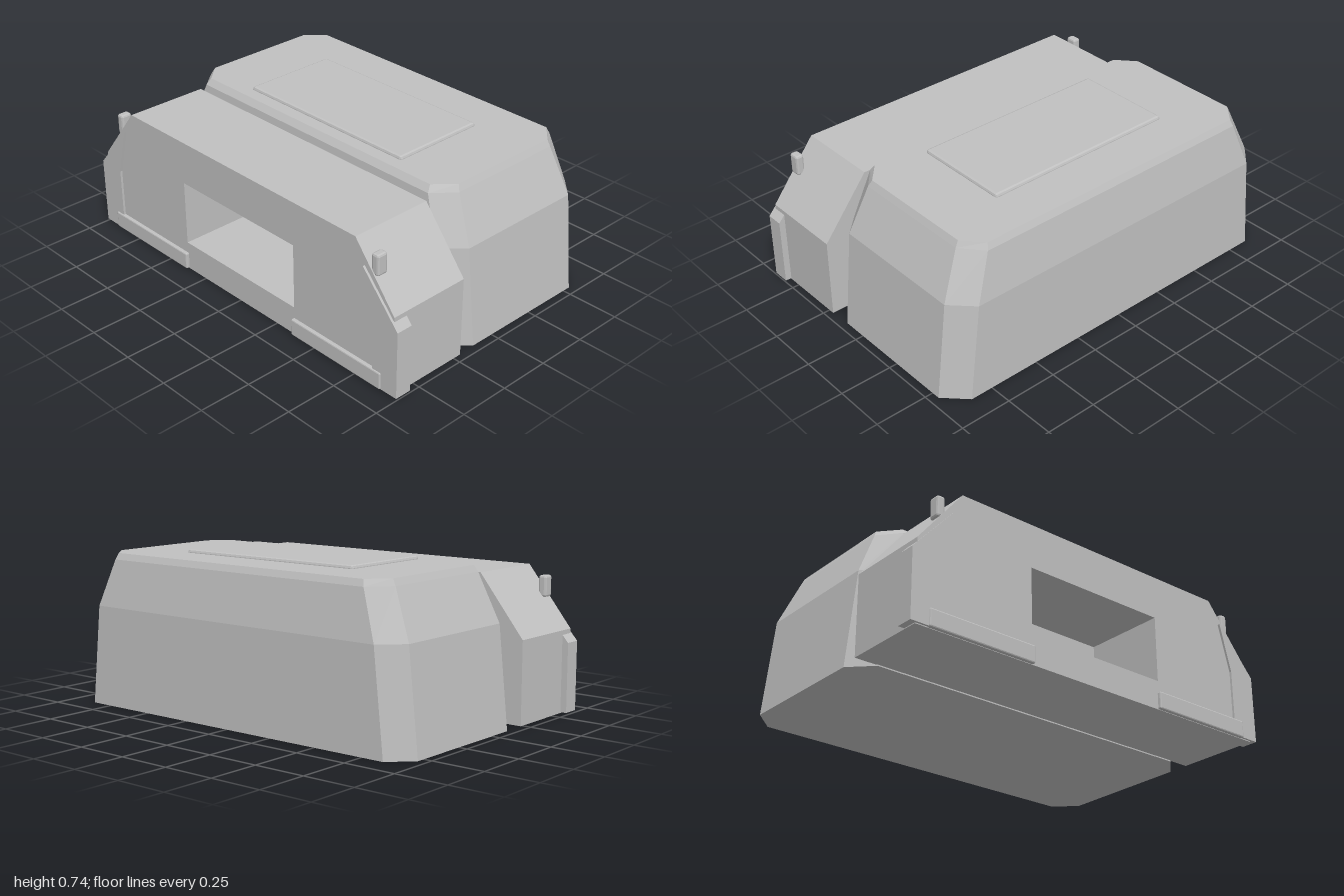
import * as THREE from 'three';
import { RoundedBoxGeometry } from 'three/addons/geometries/RoundedBoxGeometry.js';

const grey = new THREE.MeshStandardMaterial({ color: 0xc0c0c0, flatShading: true });
grey.name = 'light grey';

// Chamfered rectangle ring at height y, ordered from +x towards +z
function ring([y, x, zBack, zFront, cx, cz]) {
  return [
    [x, zFront - cz], [x - cx, zFront], [cx - x, zFront], [-x, zFront - cz],
    [-x, zBack + cz], [cx - x, zBack], [x - cx, zBack], [x, zBack + cz],
  ].map(([px, pz]) => [px, y, pz]);
}

// Closed solid through a stack of rings, bottom to top
function loft(rings) {
  const pos = [];
  const tri = (a, b, c) => pos.push(...a, ...b, ...c);
  const n = rings[0].length;
  for (let k = 0; k < rings.length - 1; k++) {
    const lo = rings[k], hi = rings[k + 1];
    for (let i = 0; i < n; i++) {
      const j = (i + 1) % n;
      tri(lo[i], hi[i], lo[j]);
      tri(lo[j], hi[i], hi[j]);
    }
  }
  const bottom = rings[0], top = rings[rings.length - 1];
  for (let i = 1; i < n - 1; i++) {
    tri(bottom[0], bottom[i], bottom[i + 1]);
    tri(top[0], top[i + 1], top[i]);
  }
  const g = new THREE.BufferGeometry();
  g.setAttribute('position', new THREE.Float32BufferAttribute(pos, 3));
  g.computeVertexNormals();
  return g;
}

const shapeOf = (pts) => new THREE.Shape(pts.map(([x, y]) => new THREE.Vector2(x, y)));

// Front outline extruded between two depths
function slab(shape, zBack, zFront) {
  const g = new THREE.ExtrudeGeometry(shape, { depth: zFront - zBack, bevelEnabled: false });
  return g.translate(0, 0, zBack);
}

// Box with small chamfered edges, given by its limits
function chamferBox(x0, x1, y0, y1, z0, z1, r) {
  const g = new RoundedBoxGeometry(x1 - x0, y1 - y0, z1 - z0, 1, r);
  return g.translate((x0 + x1) / 2, (y0 + y1) / 2, (z0 + z1) / 2);
}

export function createModel() {
  const model = new THREE.Group();
  model.name = 'casing';
  const add = (name, geometry) => {
    const mesh = new THREE.Mesh(geometry, grey);
    mesh.name = name;
    model.add(mesh);
  };

  // Large rear housing, tapering towards the roof
  add('rearHousing', loft([
    [0, 0.96, -0.64, 0.22, 0.1, 0.1],
    [0.47, 0.91, -0.64, 0.22, 0.1, 0.1],
    [0.69, 0.815, -0.605, 0.19, 0.085, 0.1],
    [0.72, 0.8, -0.592, 0.168, 0.08, 0.09],
  ].map(ring)));
  add('roofPanel', chamferBox(-0.49, 0.49, 0.69, 0.735, -0.375, 0.105, 0.012));

  // Front block with an open rectangular recess reaching the housing
  const block = shapeOf([
    [-0.97, 0.006], [0.97, 0.006], [0.97, 0.39], [0.745, 0.67], [-0.745, 0.67], [-0.97, 0.39],
  ]);
  block.holes.push(shapeOf([[-0.37, 0.145], [-0.37, 0.46], [0.37, 0.46], [0.37, 0.145]]));
  add('frontBlock', slab(block, 0.215, 0.625));

  // Mirrored corner flanges, bumpers and pegs
  for (const [side, s] of [['left', 1], ['right', -1]]) {
    const flange = [[0.86, 0.01], [1, 0.01], [1, 0.335], [0.8, 0.56], [0.86, 0.33]];
    add(side + 'Flange', slab(shapeOf(flange.map(([x, y]) => [s * x, y])), 0.555, 0.636));
    const [b0, b1] = s > 0 ? [0.365, 0.91] : [-0.91, -0.365];
    add(side + 'Bumper', chamferBox(b0, b1, 0.008, 0.09, 0.6, 0.642, 0.006));
    const p = s * 0.85;
    add(side + 'Peg', chamferBox(p - 0.02, p + 0.02, 0.53, 0.63, 0.565, 0.62, 0.01));
  }
  return model;
}
